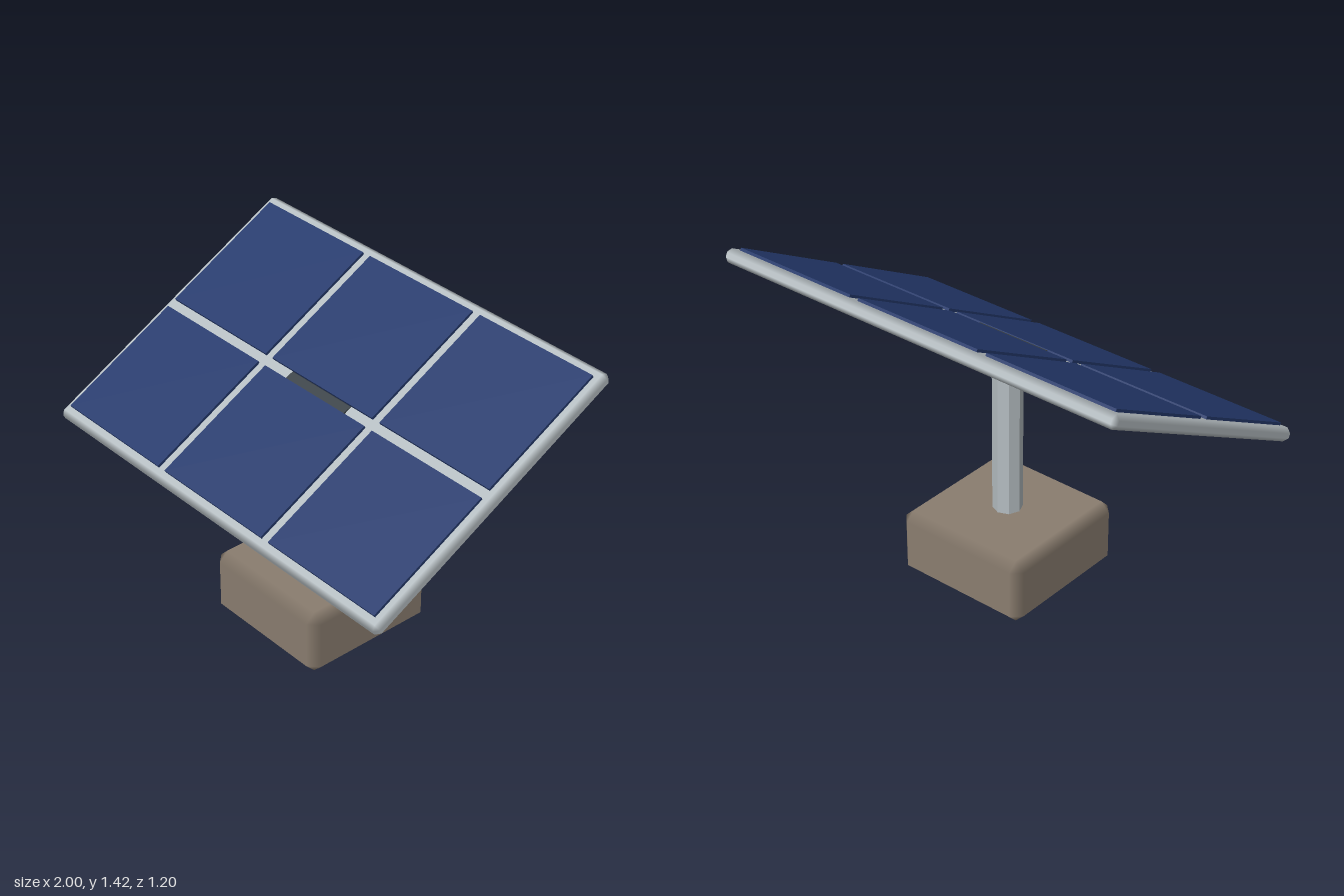
import * as THREE from 'three';
import { ConvexGeometry } from 'three/addons/geometries/ConvexGeometry.js';

const material = (name, color) => {
  const m = new THREE.MeshStandardMaterial({ color });
  m.name = name;
  return m;
};

// Box with one chamfer on every edge; normals blend smoothly across the chamfers.
function chamferBox(w, h, d, c) {
  const half = [w / 2, h / 2, d / 2];
  const points = [];
  for (const sx of [-1, 1]) for (const sy of [-1, 1]) for (const sz of [-1, 1]) {
    for (let axis = 0; axis < 3; axis++) {
      const p = [sx, sy, sz].map((s, i) => s * (half[i] - (i === axis ? 0 : c)));
      points.push(new THREE.Vector3(...p));
    }
  }
  const geo = new ConvexGeometry(points);
  const pos = geo.attributes.position;
  for (let i = 0; i < pos.count; i++) {
    const p = [pos.getX(i), pos.getY(i), pos.getZ(i)];
    const n = p.map((v, k) => (Math.abs(v) > half[k] - c / 2 ? Math.sign(v) : 0));
    geo.attributes.normal.setXYZ(i, ...n);
  }
  return geo;
}

// Eight-sided prism with hard edges
function octagon(radius, length) {
  const geo = new THREE.CylinderGeometry(radius, radius, length, 8).toNonIndexed();
  geo.computeVertexNormals();
  return geo;
}

export function createModel() {
  const model = new THREE.Group();
  model.name = 'solarPanel';
  const stone = material('brownStone', 0x8a7d6f);
  const metal = material('lightMetal', 0xb4bcc0);
  const dark = material('darkMetal', 0x3c4348);
  const blue = material('cellBlue', 0x24396c);

  const add = (parent, name, geo, mat, x, y, z) => {
    const mesh = new THREE.Mesh(geo, mat);
    mesh.name = name;
    mesh.position.set(x, y, z);
    parent.add(mesh);
    return mesh;
  };

  // Foot, post and pivot
  add(model, 'base', chamferBox(0.65, 0.305, 0.65, 0.043), stone, 0, 0.1525, 0);
  add(model, 'post', octagon(0.065, 0.77), metal, 0, 0.665, 0);
  add(model, 'pivot', octagon(0.085, 0.355), dark, 0, 1.045, 0).rotation.z = Math.PI / 2;

  // Tilted panel: frame with two rows of three cells
  const panel = new THREE.Group();
  panel.name = 'panel';
  panel.position.y = 1.091;
  panel.rotation.x = THREE.MathUtils.degToRad(28);
  model.add(panel);
  add(panel, 'frame', chamferBox(2, 0.06, 1.348, 0.02), metal, 0, 0, 0);
  const cell = new THREE.BoxGeometry(0.61, 0.018, 0.606);
  for (const col of [-1, 0, 1]) {
    for (const row of [-1, 1]) add(panel, 'cell', cell, blue, col * 0.653, 0.033, row * 0.325);
  }

  return model;
}
